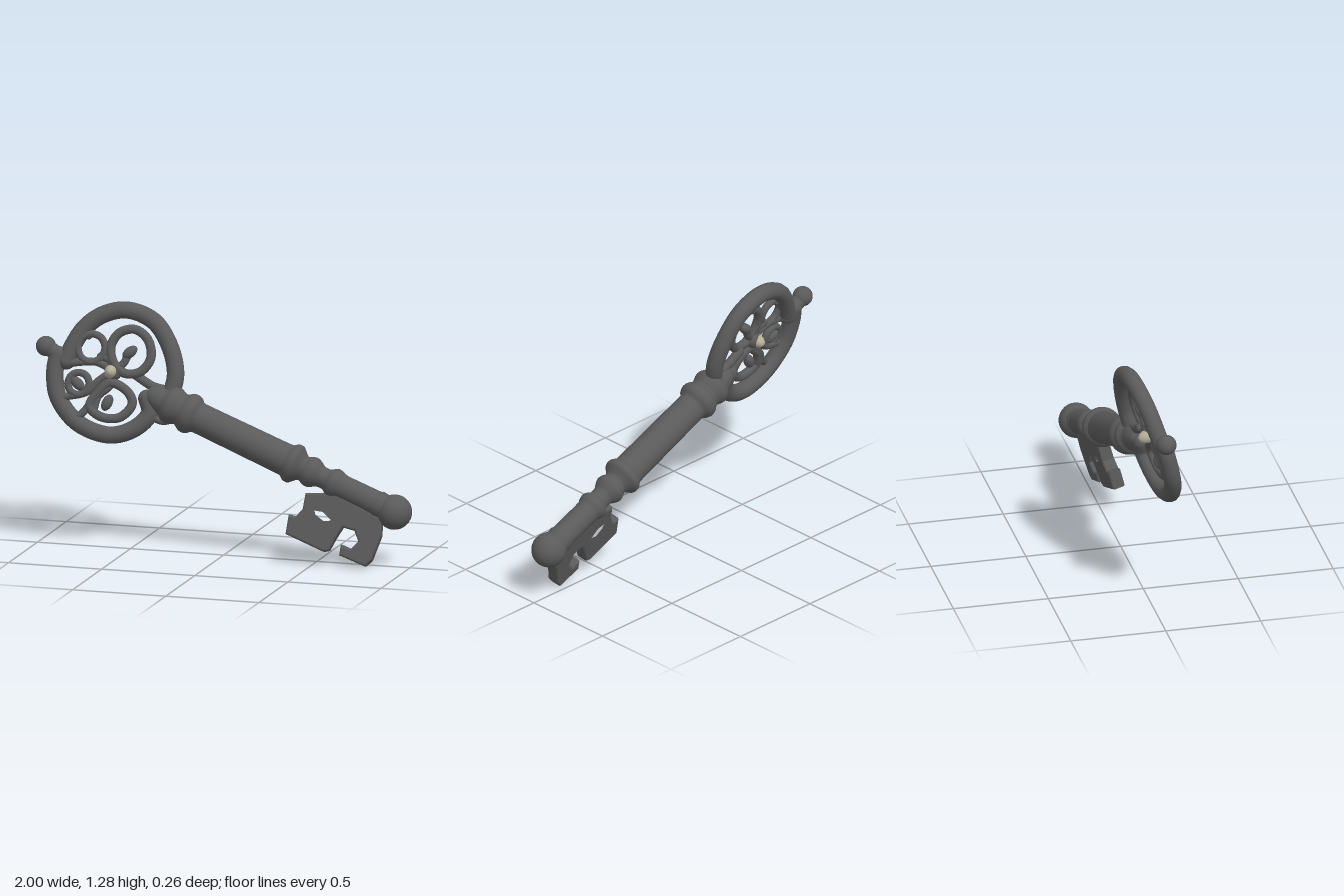
import * as THREE from 'three';

const TURN = 0.389, TILT = 0.262, YAW = 0.016;
const TIP = [0.91, 0.285];

const iron = new THREE.MeshStandardMaterial({ color: 0x5a5a5a });
iron.name = 'dark iron';
const ivory = new THREE.MeshStandardMaterial({ color: 0xb4ae98 });
ivory.name = 'ivory';

// upright x, y -> key plane: u along the shaft from the tip, v across it
function at([x, y], w = 0) {
  const dx = x - TIP[0], dy = y - TIP[1];
  const c = Math.cos(TURN), s = Math.sin(TURN);
  return new THREE.Vector3(c * dx - s * dy, (s * dx + c * dy) / Math.cos(TILT), w);
}

function add(parent, name, geometry, material = iron) {
  const mesh = new THREE.Mesh(geometry, material);
  mesh.name = name;
  parent.add(mesh);
  return mesh;
}

function ball(parent, name, p, r, scale = [1, 1, 1], material = iron) {
  const mesh = add(parent, name, new THREE.SphereGeometry(r, 24, 16), material);
  mesh.position.copy(p);
  mesh.scale.set(...scale);
  return mesh;
}

// round bar along a smooth path, with rounded ends when open
function bar(parent, name, points, r, closed = false, w = 0) {
  const path = points.map((p) => at(p, w));
  const curve = new THREE.CatmullRomCurve3(path, closed);
  add(parent, name, new THREE.TubeGeometry(curve, points.length * 8, r, 14, closed));
  if (!closed) for (const p of [path[0], path[path.length - 1]]) ball(parent, name + 'End', p, r);
}

function circle(cx, cy, r) {
  return Array.from({ length: 8 }, (_, i) => [cx + r * Math.cos(i * Math.PI / 4), cy + r * Math.sin(i * Math.PI / 4)]);
}

export function createModel() {
  const key = new THREE.Group();
  key.name = 'key';

  // turned shaft with its collars: [position along the shaft, radius]
  const profile = [
    [-1.43, 0.001], [-1.42, 0.04], [-1.37, 0.065], [-1.33, 0.075], [-1.305, 0.095], [-1.28, 0.1],
    [-1.25, 0.09], [-1.23, 0.085], [-1.205, 0.1], [-1.18, 0.106], [-1.155, 0.098], [-1.135, 0.082],
    [-1.1, 0.08], [-0.85, 0.082], [-0.64, 0.084], [-0.615, 0.09], [-0.595, 0.102], [-0.57, 0.102],
    [-0.55, 0.085], [-0.525, 0.066], [-0.5, 0.076], [-0.475, 0.08], [-0.45, 0.07], [-0.425, 0.056],
    [-0.39, 0.056], [-0.37, 0.07], [-0.35, 0.077], [-0.325, 0.072], [-0.3, 0.064], [-0.2, 0.064],
    [-0.11, 0.065], [-0.095, 0.07], [-0.07, 0.068], [0, 0.06],
  ];
  const spline = new THREE.SplineCurve(profile.map(([u, r]) => new THREE.Vector2(r, u)));
  const shaft = new THREE.LatheGeometry(spline.getPoints(130), 40);
  shaft.rotateZ(-Math.PI / 2);
  add(key, 'shaft', shaft);
  ball(key, 'tipBall', new THREE.Vector3(), 0.091);

  // bow: two curved arms that meet at the finial
  const bow = new THREE.Group();
  bow.name = 'bow';
  key.add(bow);
  bar(bow, 'upperArm', [[-0.84, 0.97], [-0.81, 1.05], [-0.75, 1.145], [-0.66, 1.21], [-0.54, 1.235],
    [-0.4, 1.185], [-0.31, 1.065], [-0.27, 0.93], [-0.285, 0.82]], 0.045);
  bar(bow, 'lowerArm', [[-0.885, 1.0], [-0.895, 0.92], [-0.87, 0.79], [-0.76, 0.665], [-0.59, 0.61],
    [-0.46, 0.65], [-0.39, 0.73], [-0.41, 0.8]], 0.045);
  bar(bow, 'finialNeck', [[-0.95, 1.04], [-0.9, 1.01], [-0.83, 0.97]], 0.04);
  ball(bow, 'finialBall', at([-0.95, 1.04]), 0.052);

  // struts joining the bow to the shaft
  bar(bow, 'upperStrut', [[-0.47, 0.91], [-0.38, 0.86], [-0.27, 0.84]], 0.024);
  bar(bow, 'lowerStrut', [[-0.4, 0.72], [-0.32, 0.69], [-0.25, 0.71]], 0.02);

  // scrollwork loops and leaves inside the bow
  const scroll = new THREE.Group();
  scroll.name = 'scrollwork';
  bow.add(scroll);
  const loops = [
    [[-0.59, 0.97], [-0.61, 1.05], [-0.57, 1.12], [-0.49, 1.14], [-0.42, 1.09], [-0.4, 1.0], [-0.45, 0.93], [-0.53, 0.92]],
    [[-0.6, 0.87], [-0.51, 0.83], [-0.48, 0.77], [-0.54, 0.7], [-0.64, 0.7], [-0.7, 0.75], [-0.66, 0.82]],
    circle(-0.765, 0.86, 0.055),
    circle(-0.71, 1.04, 0.07),
  ];
  loops.forEach((points, i) => bar(scroll, 'loop', points, i < 2 ? 0.024 : 0.019, true, 0.02));
  const stems = [
    [[-0.59, 0.93], [-0.68, 0.97], [-0.82, 0.96]],
    [[-0.59, 0.93], [-0.66, 0.88], [-0.72, 0.82], [-0.84, 0.79]],
    [[-0.6, 0.92], [-0.61, 0.98], [-0.66, 1.0]],
    [[-0.7, 0.76], [-0.74, 0.71], [-0.78, 0.69]],
    [[-0.6, 0.93], [-0.6, 0.86], [-0.66, 0.8], [-0.68, 0.72]],
    [[-0.59, 0.93], [-0.54, 0.97], [-0.52, 1.01]],
    [[-0.73, 1.1], [-0.75, 1.13]],
  ];
  stems.forEach((points) => bar(scroll, 'stem', points, 0.02, false, 0.015));
  for (const [x, y, angle] of [[-0.51, 1.025, 1.1], [-0.61, 0.77, -1.6], [-0.77, 0.86, 2.8]]) {
    ball(scroll, 'leaf', at([x, y], 0.02), 0.032, [1.4, 0.85, 0.9]).rotation.z = angle;
  }
  ball(scroll, 'hub', at([-0.59, 0.925], 0.01), 0.045, [1, 1, 0.9]);
  ball(scroll, 'centreBead', at([-0.6, 0.925], 0.01), 0.036, [1, 1.05, 1.8], ivory);

  // toothed bit with a slot
  const flat = (points) => points.map((p) => at(p)).map((p) => new THREE.Vector2(p.x, p.y));
  const outline = new THREE.Shape(flat([
    [0.45, 0.36], [0.6, 0.365], [0.85, 0.25], [0.85, 0.16], [0.81, 0.04], [0.78, 0.01], [0.645, 0.06],
    [0.65, 0.11], [0.7, 0.09], [0.74, 0.13], [0.715, 0.185], [0.65, 0.2], [0.615, 0.14], [0.585, 0.08],
    [0.56, 0.075], [0.36, 0.155], [0.37, 0.25], [0.405, 0.24], [0.44, 0.28],
  ]));
  outline.holes.push(new THREE.Path(flat([[0.49, 0.285], [0.55, 0.28], [0.605, 0.225], [0.55, 0.215], [0.5, 0.25]])));
  const bit = new THREE.ExtrudeGeometry(outline, {
    depth: 0.045, bevelThickness: 0.012, bevelSize: 0.012, bevelOffset: -0.01, bevelSegments: 3,
  });
  bit.translate(0, 0, -0.0225);
  add(key, 'bit', bit);

  // lean the whole key, then stand it on the ground
  key.rotation.set(-TILT, YAW, -TURN, 'ZYX');
  key.position.set(TIP[0], TIP[1], -0.03);
  const model = new THREE.Group();
  model.name = 'ornateKey';
  model.add(key);
  const box = new THREE.Box3().setFromObject(model, true);
  key.position.x -= (box.min.x + box.max.x) / 2;
  key.position.y -= box.min.y;
  key.position.z -= (box.min.z + box.max.z) / 2;
  return model;
}
